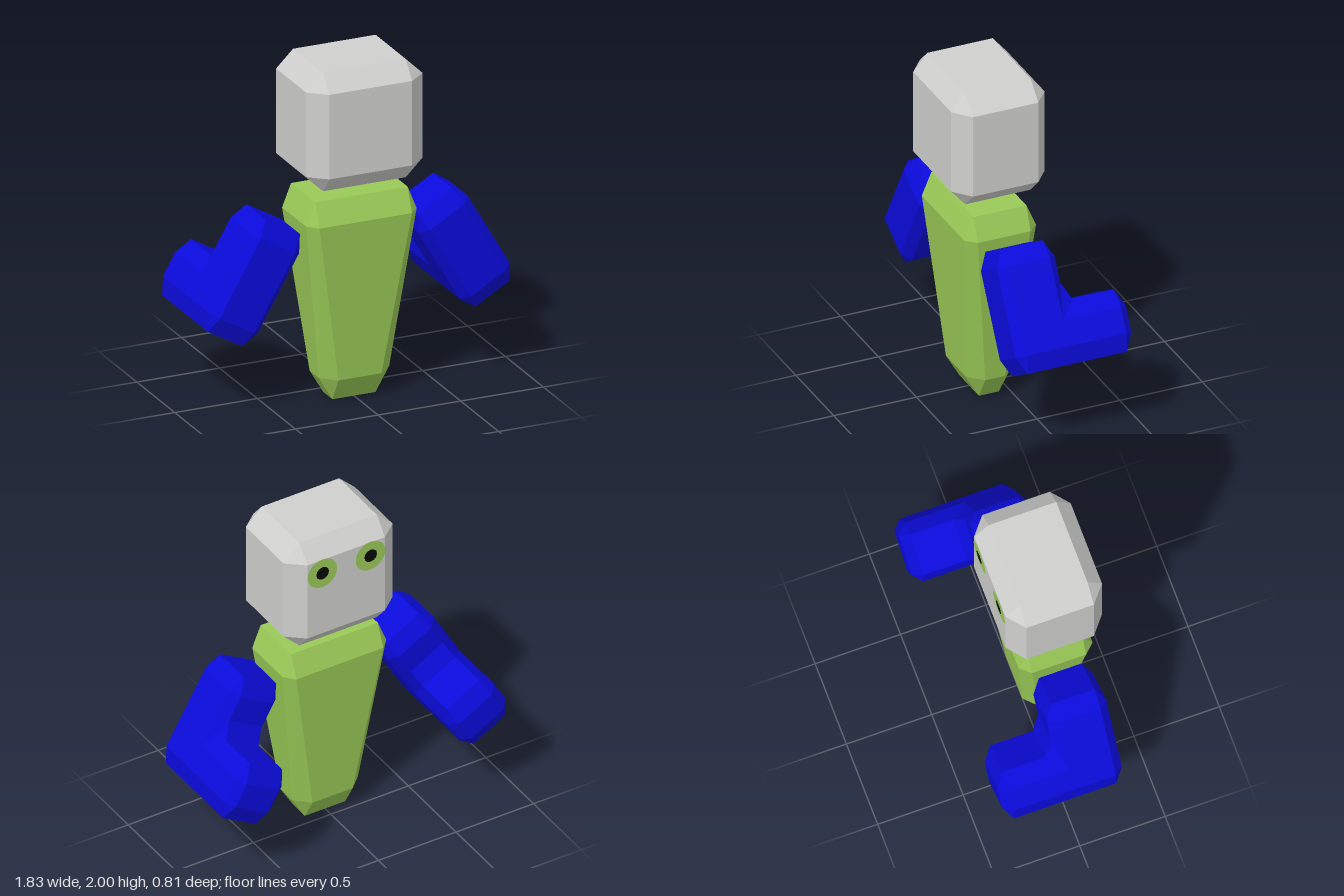
import * as THREE from 'three';
import { ConvexGeometry } from 'three/addons/geometries/ConvexGeometry.js';

const CENTER_Z = 0.122;

function material(name, color) {
  const m = new THREE.MeshStandardMaterial({ color });
  m.name = name;
  return m;
}

// Faceted block: rectangular ends, bevelled rings between. a = inner half size, b = outer half size.
function bevelledBlock(top, bottom) {
  const points = [];
  for (const s of [top, bottom]) {
    for (const sx of [-1, 1]) for (const sz of [-1, 1]) {
      points.push(
        new THREE.Vector3(sx * s.ax, s.endY, sz * s.az),
        new THREE.Vector3(sx * s.bx, s.ringY, sz * s.az),
        new THREE.Vector3(sx * s.ax, s.ringY, sz * s.bz));
    }
  }
  return new ConvexGeometry(points);
}

// Bent arm: a bevelled L lofted across its width (x). Profile points are [z, y].
function armGeometry() {
  const outline = [
    [0.3, 0.25], [0.25, 0.35], [0, 0.35], [-0.05, 0.25], [-0.05, 0.1], [-0.1, 0],
    [-0.35, 0], [-0.4, -0.1], [-0.4, -0.25], [-0.35, -0.35], [0.25, -0.35], [0.3, -0.25],
  ];
  const inset = [[0.25, 0.25], [0, 0.25], [0, -0.1], [-0.35, -0.1], [-0.35, -0.25], [0.25, -0.25]];
  const ring = (x, pts) => pts.map(([z, y]) => new THREE.Vector3(x, y, z));
  const doubled = outline.map((_, i) => inset[i >> 1]);
  const rings = [ring(-0.172, doubled), ring(-0.12, outline), ring(0.12, outline), ring(0.172, doubled)];

  const verts = [];
  const tri = (a, b, c) => {
    if (a.equals(b) || b.equals(c) || c.equals(a)) return;
    for (const p of [a, b, c]) verts.push(p.x, p.y, p.z);
  };
  for (let r = 0; r < 3; r++) {
    for (let i = 0; i < 12; i++) {
      const j = (i + 1) % 12;
      const [p, q] = [rings[r], rings[r + 1]];
      tri(p[i], q[i], p[j]);
      tri(p[j], q[i], q[j]);
    }
  }
  // Flat L faces, fanned from the inner corner
  const [lo, hi] = [ring(-0.172, inset), ring(0.172, inset)];
  for (let k = 0; k < 4; k++) {
    const [m, n] = [(3 + k) % 6, (4 + k) % 6];
    tri(lo[2], lo[m], lo[n]);
    tri(hi[2], hi[n], hi[m]);
  }
  const g = new THREE.BufferGeometry();
  g.setAttribute('position', new THREE.Float32BufferAttribute(verts, 3));
  g.computeVertexNormals();
  return g;
}

export function createModel() {
  const model = new THREE.Group();
  model.name = 'figure';
  const grey = material('head grey', 0xcfcfcd);
  const green = material('leaf green', 0x9aca57);
  const blue = material('arm blue', 0x0b0bdc);
  const black = material('pupil black', 0x080808);

  const add = (name, geometry, mat, x, y, z) => {
    const mesh = new THREE.Mesh(geometry, mat);
    mesh.name = name;
    mesh.position.set(x, y, z);
    model.add(mesh);
    return mesh;
  };

  // Head
  const headSize = { ax: 0.25, az: 0.198, bx: 0.352, bz: 0.2825 };
  add('head', bevelledBlock(
    { ...headSize, endY: 2, ringY: 1.9 },
    { ...headSize, endY: 1.3, ringY: 1.4 }), grey, 0, 0, CENTER_Z);

  // Tapered body
  add('body', bevelledBlock(
    { ax: 0.28, az: 0.159, bx: 0.334, bz: 0.217, endY: 1.225, ringY: 1.09 },
    { ax: 0.13, az: 0.06, bx: 0.213, bz: 0.14, endY: 0, ringY: 0.14 }), green, 0, 0, CENTER_Z);

  // Arms and eyes, one per side
  const arm = armGeometry();
  const faceZ = CENTER_Z - 0.2825;
  for (const side of [1, -1]) {
    const label = side > 0 ? 'left' : 'right';
    add(label + 'Arm', arm, blue, side * 0.635, 0.795, -0.004).rotation.z = side * Math.PI / 6;

    const iris = add(label + 'Iris', new THREE.CircleGeometry(0.095, 24), green, side * 0.155, 1.812, faceZ - 0.003);
    iris.rotation.y = Math.PI;
    const pupil = add(label + 'Pupil', new THREE.CircleGeometry(0.041, 12), black, side * 0.155, 1.814, faceZ - 0.006);
    pupil.rotation.y = Math.PI;
  }
  return model;
}
